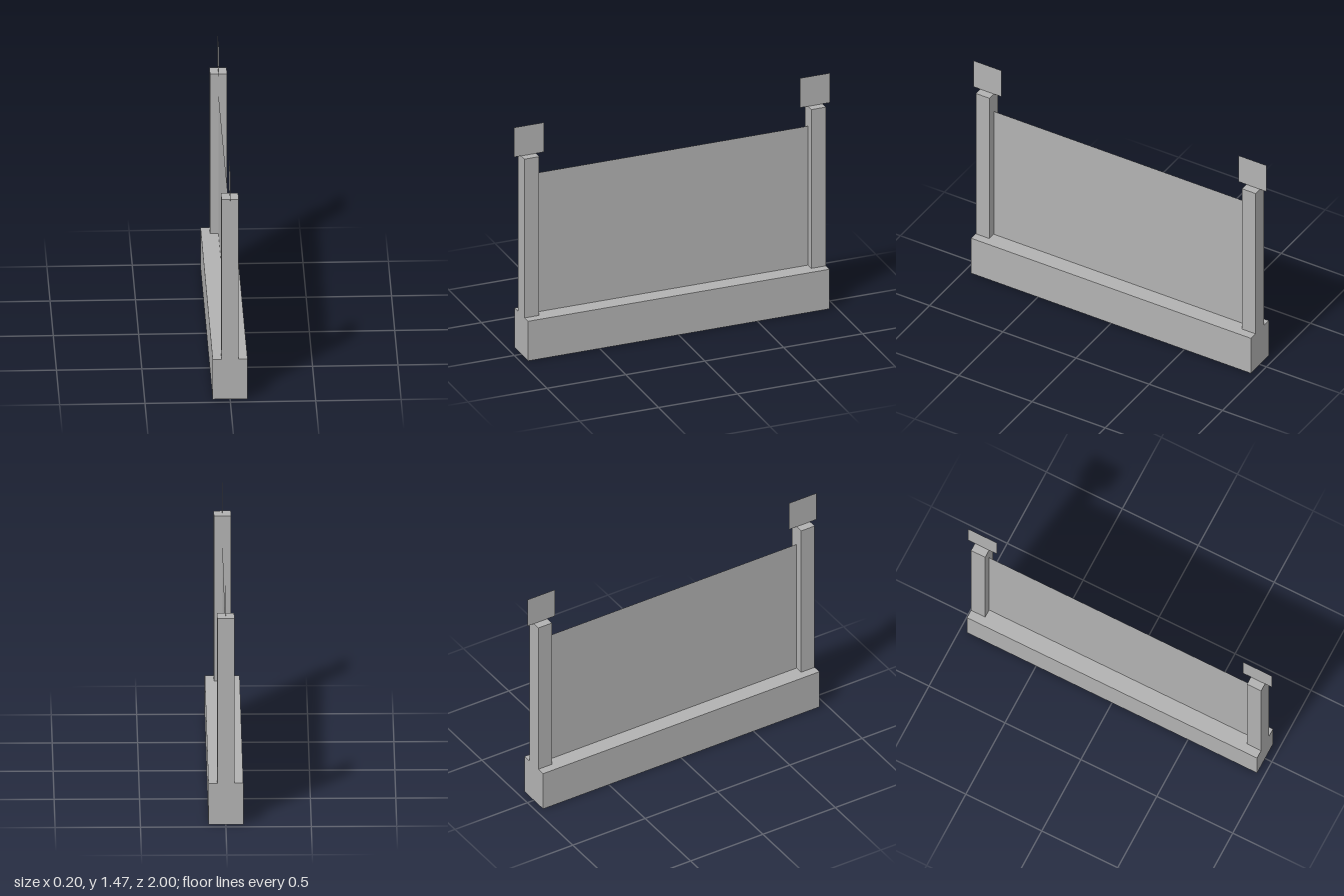
import * as THREE from 'three';

// One flat grey, double-sided because the shells are open and the sheets are thin
const grey = new THREE.MeshStandardMaterial({ color: 0xb2b2b2, side: THREE.DoubleSide });
grey.name = 'grey';

// Box standing on y = 0 with its underside left open
function openBox(width, height, depth) {
  const geometry = new THREE.BoxGeometry(width, height, depth);
  const index = Array.from(geometry.index.array);
  index.splice(18, 6); // drop the bottom face
  geometry.setIndex(index);
  geometry.clearGroups();
  return geometry.translate(0, height / 2, 0);
}

// Flat sheet in the x = 0 plane, standing on y = 0
function sheet(length, height) {
  return new THREE.PlaneGeometry(length, height).rotateY(Math.PI / 2).translate(0, height / 2, 0);
}

export function createModel() {
  const model = new THREE.Group();
  model.name = 'fenceSection';

  const add = (name, geometry, y, z = 0) => {
    const mesh = new THREE.Mesh(geometry, grey);
    mesh.name = name;
    mesh.position.set(0, y, z);
    model.add(mesh);
  };

  const baseTop = 0.255;
  const postTop = 1.277;
  const half = 0.955;
  const postDepth = 0.093;

  // Footing wall and the thin panel above it
  add('base', openBox(0.204, baseTop, half * 2), 0);
  add('panel', sheet((half - postDepth) * 2, 1.15 - baseTop), baseTop);

  // A post at each end, topped by a flat square ornament
  for (const [end, side] of [['front', 1], ['back', -1]]) {
    add(end + 'Post', openBox(0.1, postTop - baseTop, postDepth), baseTop, side * (half - postDepth / 2));
    add(end + 'Finial', sheet(0.19, 0.19), postTop, side * 0.905);
  }
  return model;
}
